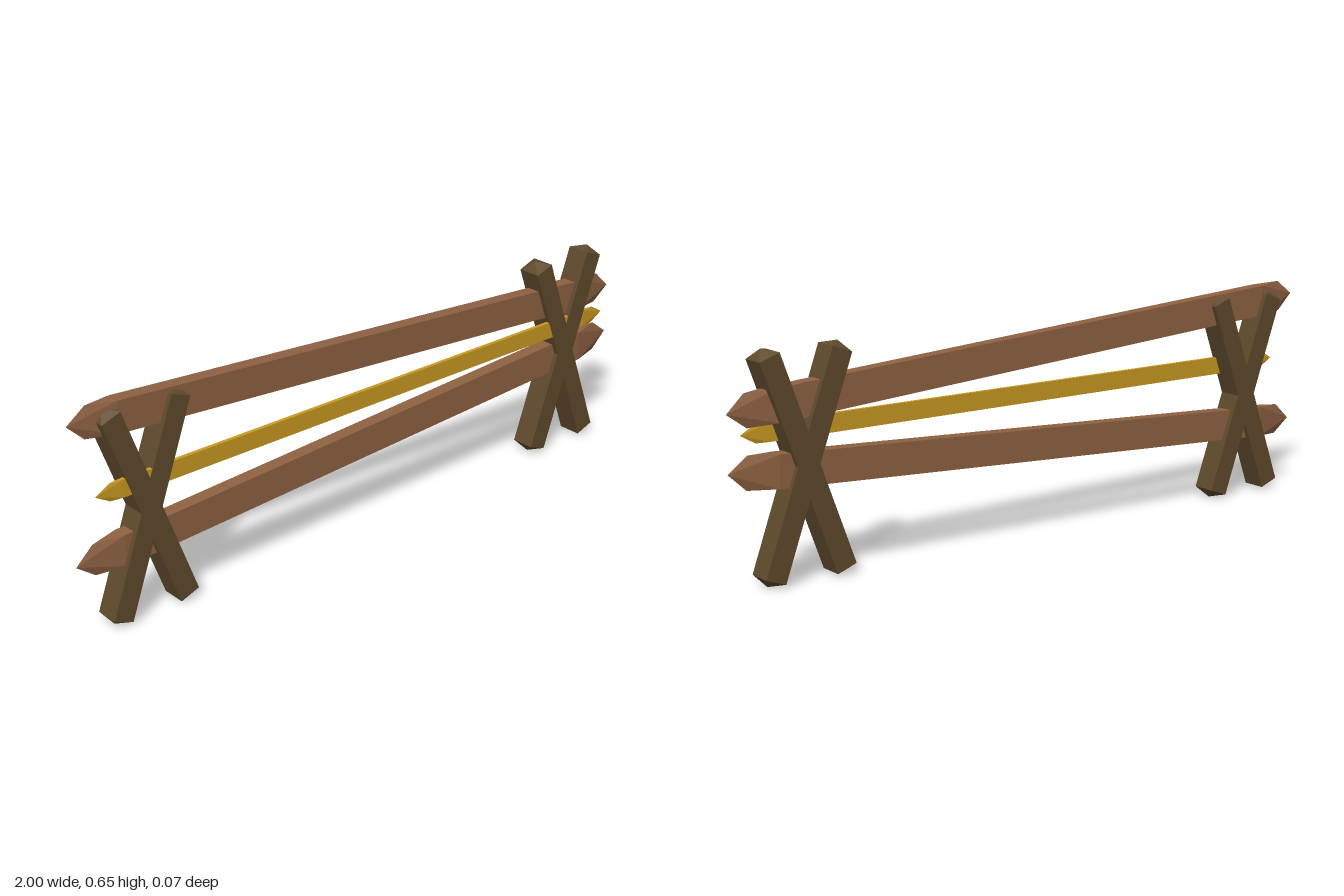
import * as THREE from 'three';
import { ConvexGeometry } from 'three/addons/geometries/ConvexGeometry.js';

const mat = (name, color) => {
  const m = new THREE.MeshStandardMaterial({ color });
  m.name = name;
  return m;
};

// Beam along x, whittled at both ends. Half sizes: shoulder = end of the full
// section, ridge = end of the top and bottom edges, tip = outermost point.
function beamGeometry(shoulder, ridge, tip, hy, hz) {
  const pts = [];
  for (const s of [-1, 1]) {
    for (const y of [-hy, hy]) {
      pts.push(new THREE.Vector3(s * shoulder, y, hz), new THREE.Vector3(s * shoulder, y, -hz));
      if (ridge > shoulder) pts.push(new THREE.Vector3(s * ridge, y, 0));
    }
    pts.push(new THREE.Vector3(s * tip, 0, 0));
  }
  return new ConvexGeometry(pts);
}

export function createModel() {
  const group = new THREE.Group();
  group.name = 'fence';
  const railWood = mat('rail brown', 0x8f6242);
  const legWood = mat('dark leg brown', 0x5f4a2c);
  const gold = mat('golden yellow', 0xc99a22);

  const add = (parent, name, geometry, material, x, y, z, angle) => {
    const m = new THREE.Mesh(geometry, material);
    m.name = name;
    m.position.set(x, y, z);
    m.rotation.z = angle;
    parent.add(m);
  };

  // Two sloping rails
  const rail = beamGeometry(0.86, 0.945, 1.0, 0.046, 0.021);
  add(group, 'upperRail', rail, railWood, 0, 0.54, 0, -0.069);
  add(group, 'lowerRail', rail, railWood, 0, 0.262, 0, 0.053);

  // Thin level pole near the front
  add(group, 'goldenPole', beamGeometry(0.86, 0.9, 0.945, 0.026, 0.006), gold, 0, 0.405, 0.028, 0);

  // Crossed legs at each end, with low pyramid tips
  const leg = beamGeometry(0.315, 0.315, 0.335, 0.031, 0.0365);
  for (const side of [-1, 1]) {
    const frame = new THREE.Group();
    frame.name = side > 0 ? 'leftCrossedLegs' : 'rightCrossedLegs';
    frame.position.x = side * 0.78;
    const tilt = THREE.MathUtils.degToRad(20);
    add(frame, 'legLeaningRight', leg, legWood, 0, 0.315, 0, Math.PI / 2 + tilt);
    add(frame, 'legLeaningLeft', leg, legWood, 0, 0.315, 0, Math.PI / 2 - tilt);
    group.add(frame);
  }
  return group;
}
